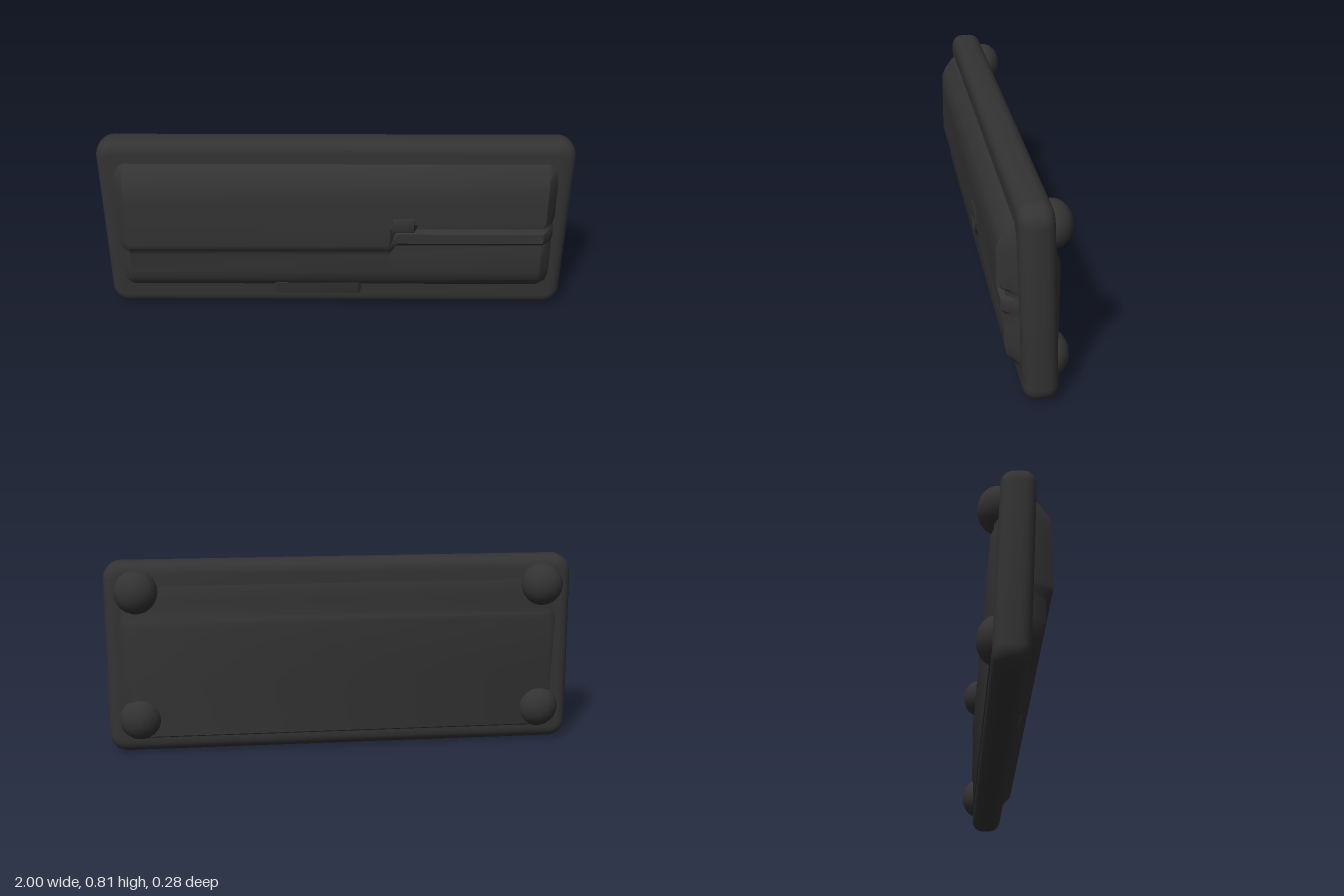
import * as THREE from 'three';
import { toCreasedNormals } from 'three/addons/utils/BufferGeometryUtils.js';

// Skin stretched over [y, z] profiles placed at stations along x.
function loft(stations, facing) {
  const pos = [], index = [], n = stations[0][1].length;
  for (const [x, profile] of stations) for (const [y, z] of profile) pos.push(x, y, z);
  for (let i = 0; i < stations.length - 1; i++) {
    for (let j = 0; j < n - 1; j++) {
      const a = i * n + j, b = a + n, c = b + 1, d = a + 1;
      if (facing > 0) index.push(a, b, c, a, c, d);
      else index.push(a, c, b, a, d, c);
    }
  }
  const g = new THREE.BufferGeometry();
  g.setAttribute('position', new THREE.Float32BufferAttribute(pos, 3));
  g.setIndex(index);
  return toCreasedNormals(g, 0.7);
}

// Draws a profile in towards its middle height and scales its relief from a base depth.
function inset(profile, dy, relief, base) {
  const lo = profile[0][0], hi = profile[profile.length - 1][0];
  const k = 1 - (2 * dy) / (hi - lo), mid = (lo + hi) / 2;
  return profile.map(([y, z]) => [mid + (y - mid) * k, base + (z - base) * relief]);
}

function roundedRect(w, h, r) {
  const s = new THREE.Shape();
  s.moveTo(-w + r, -h);
  s.lineTo(w - r, -h);
  s.absarc(w - r, -h + r, r, -Math.PI / 2, 0);
  s.absarc(w - r, h - r, r, 0, Math.PI / 2);
  s.absarc(-w + r, h - r, r, Math.PI / 2, Math.PI);
  s.absarc(-w + r, -h + r, r, Math.PI, Math.PI * 1.5);
  return s;
}

export function createModel() {
  const group = new THREE.Group();
  const dark = new THREE.MeshStandardMaterial({ color: 0x333333 });
  dark.name = 'dark grey plastic';
  const add = (name, geometry) => {
    const mesh = new THREE.Mesh(geometry, dark);
    mesh.name = name;
    group.add(mesh);
    return mesh;
  };

  // Slab with a fat rounded rim, leaning slightly forward at the top
  const bevel = 0.05;
  const slab = new THREE.ExtrudeGeometry(roundedRect(1 - bevel, 0.4075 - bevel, 0.025), {
    depth: 0.035, bevelThickness: bevel, bevelSize: bevel, bevelSegments: 5, curveSegments: 5,
  });
  slab.translate(0, 0.4075, -0.0195);
  const p = slab.attributes.position;
  for (let i = 0; i < p.count; i++) p.setZ(i, p.getZ(i) + (p.getY(i) - 0.4075) * 0.04);
  add('caseBody', toCreasedNormals(slab, 0.8));

  // Raised key field: one wide step on one side, a ridged band on the other
  const lower = [[0.09, 0.03], [0.13, 0.07], [0.165, 0.1], [0.21, 0.11]];
  const upper = [[0.55, 0.14], [0.63, 0.14], [0.67, 0.123], [0.715, 0.09], [0.74, 0.04]];
  const wide = [...lower,
    [0.3, 0.112], [0.315, 0.115], [0.335, 0.13], [0.345, 0.138], [0.36, 0.14], [0.44, 0.14], [0.465, 0.14],
    ...upper];
  const ridged = [...lower,
    [0.3, 0.112], [0.345, 0.105], [0.365, 0.125], [0.41, 0.125], [0.425, 0.106], [0.445, 0.106], [0.465, 0.14],
    ...upper];
  add('keyField', loft([
    [-0.945, inset(wide, 0.03, 0, 0.04)],
    [-0.925, inset(wide, 0.012, 0.5, 0.04)],
    [-0.885, wide],
    [0.23, wide],
    [0.26, ridged],
    [0.885, ridged],
    [0.925, inset(ridged, 0.012, 0.5, 0.04)],
    [0.945, inset(ridged, 0.03, 0, 0.04)],
  ], 1));

  // Small raised block where the two key areas meet
  const block = [[0.41, 0.1], [0.425, 0.138], [0.44, 0.144], [0.49, 0.144], [0.505, 0.135]];
  add('keyBlock', loft([
    [0.22, inset(block, 0.01, 0, 0.1)], [0.24, block], [0.33, block], [0.35, inset(block, 0.01, 0, 0.1)],
  ], 1));

  // Low ledge along the front edge
  const ledge = [[0.05, 0.03], [0.065, 0.058], [0.1, 0.068], [0.13, 0.072], [0.14, 0.06]];
  add('frontLedge', loft([
    [-0.3, inset(ledge, 0.01, 0, 0.03)], [-0.26, ledge], [0.1, ledge], [0.14, inset(ledge, 0.01, 0, 0.03)],
  ], 1));

  // Flat underside panel with a stepped upper edge
  const under = [[0.04, -0.06], [0.07, -0.088], [0.3, -0.09], [0.54, -0.09],
    [0.565, -0.086], [0.59, -0.076], [0.65, -0.071], [0.7, -0.064], [0.74, -0.045]];
  add('undersidePanel', loft([
    [-0.95, inset(under, 0.02, 0, -0.05)], [-0.9, under], [0.9, under], [0.95, inset(under, 0.02, 0, -0.05)],
  ], -1));

  // Four round feet
  for (const x of [-0.865, 0.865]) {
    for (const y of [0.147, 0.692]) {
      const foot = add('foot', new THREE.SphereGeometry(0.092, 16, 12));
      foot.scale.z = 0.85;
      foot.position.set(x, y, -0.06);
    }
  }
  return group;
}
